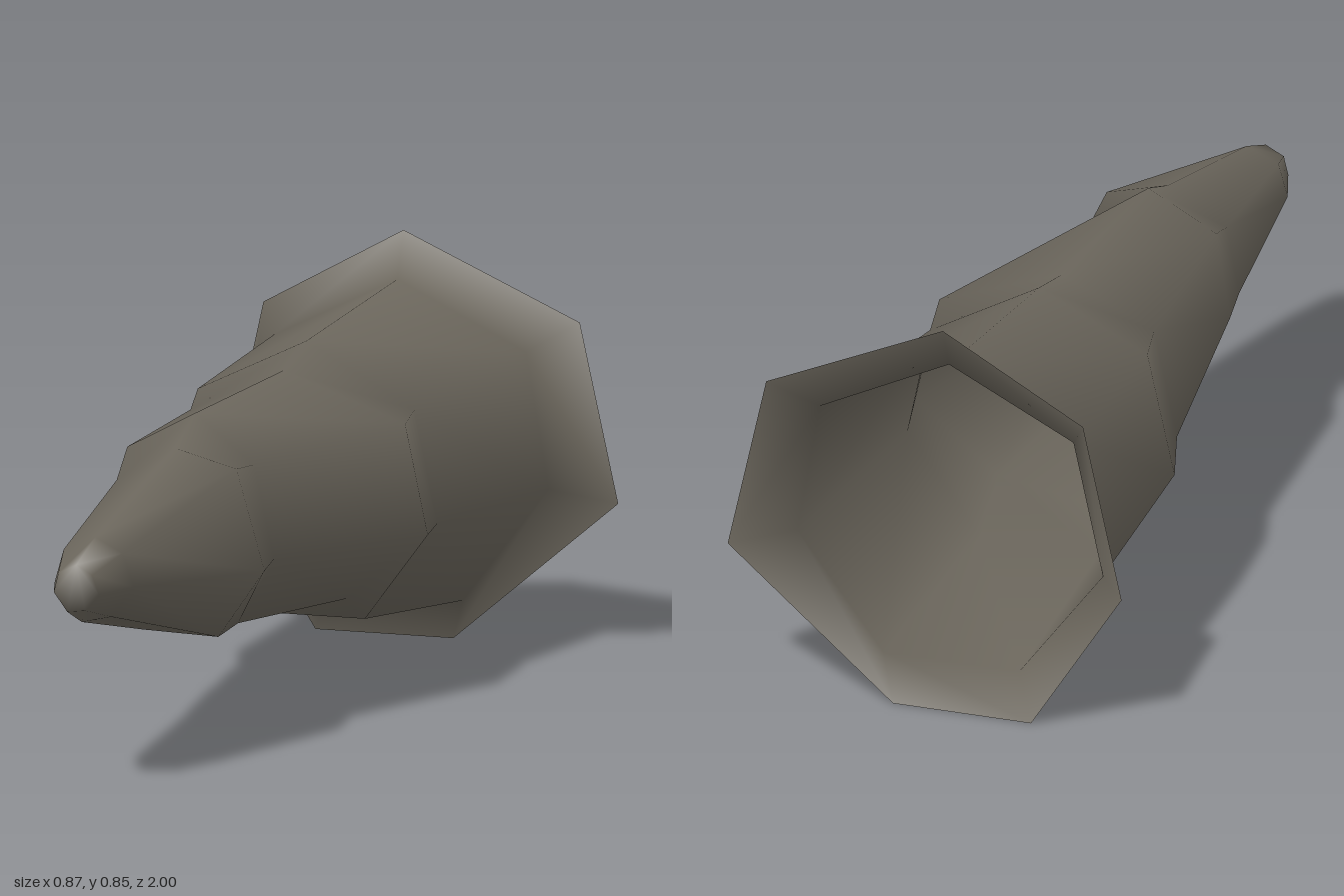
import * as THREE from 'three';

// Seven-sided cross-sections from the flared root to the tip: z, then [x, y]
// corners clockwise from the top as seen from the front
const SECTIONS = [
  [-1.0, [[-0.04, 0.85], [0.35, 0.68], [0.435, 0.305], [0.07, 0], [-0.235, 0], [-0.435, 0.305], [-0.35, 0.68]]],
  [-0.95, [[-0.035, 0.755], [0.25, 0.62], [0.3, 0.335], [0.11, 0.09], [-0.19, 0.09], [-0.375, 0.33], [-0.31, 0.62]]],
  [-0.41, [[-0.03, 0.715], [0.21, 0.585], [0.26, 0.35], [0.1, 0.14], [-0.165, 0.14], [-0.33, 0.34], [-0.27, 0.6]]],
  [-0.25, [[-0.02, 0.68], [0.25, 0.585], [0.3, 0.355], [0.12, 0.21], [-0.085, 0.175], [-0.275, 0.355], [-0.225, 0.585]]],
  [0.26, [[-0.02, 0.675], [0.11, 0.575], [0.155, 0.38], [0.075, 0.24], [-0.1, 0.235], [-0.2, 0.41], [-0.17, 0.595]]],
  [0.4, [[-0.01, 0.625], [0.125, 0.59], [0.187, 0.38], [0.085, 0.235], [-0.08, 0.24], [-0.167, 0.405], [-0.14, 0.55]]],
  [0.89, [[0, 0.52], [0.06, 0.49], [0.085, 0.42], [0.035, 0.355], [-0.03, 0.34], [-0.09, 0.42], [-0.07, 0.49]]],
  [1.0, [[0, 0.48], [0.035, 0.46], [0.05, 0.42], [0.02, 0.385], [-0.02, 0.38], [-0.05, 0.42], [-0.04, 0.46]]],
];

// Joins the rings with a smooth skin, closed at the tip and open at the root
function loft(sections) {
  const positions = [], index = [], n = sections[0][1].length;
  for (const [z, ring] of sections) for (const [x, y] of ring) positions.push(x, y, z);
  for (let r = 0; r < sections.length - 1; r++) {
    for (let i = 0; i < n; i++) {
      const a = r * n + i, b = r * n + (i + 1) % n;
      index.push(a, a + n, b, b, a + n, b + n);
    }
  }
  // Tip cap
  const last = (sections.length - 1) * n;
  for (let i = 1; i < n - 1; i++) index.push(last, last + i + 1, last + i);
  const geometry = new THREE.BufferGeometry();
  geometry.setAttribute('position', new THREE.Float32BufferAttribute(positions, 3));
  geometry.setIndex(index);
  geometry.computeVertexNormals();
  return geometry;
}

export function createModel() {
  const group = new THREE.Group();
  group.name = 'spike';
  const stone = new THREE.MeshStandardMaterial({ color: 0x6b665c, side: THREE.DoubleSide });
  stone.name = 'dark stone';
  const shell = new THREE.Mesh(loft(SECTIONS), stone);
  shell.name = 'spikeShell';
  group.add(shell);
  return group;
}
